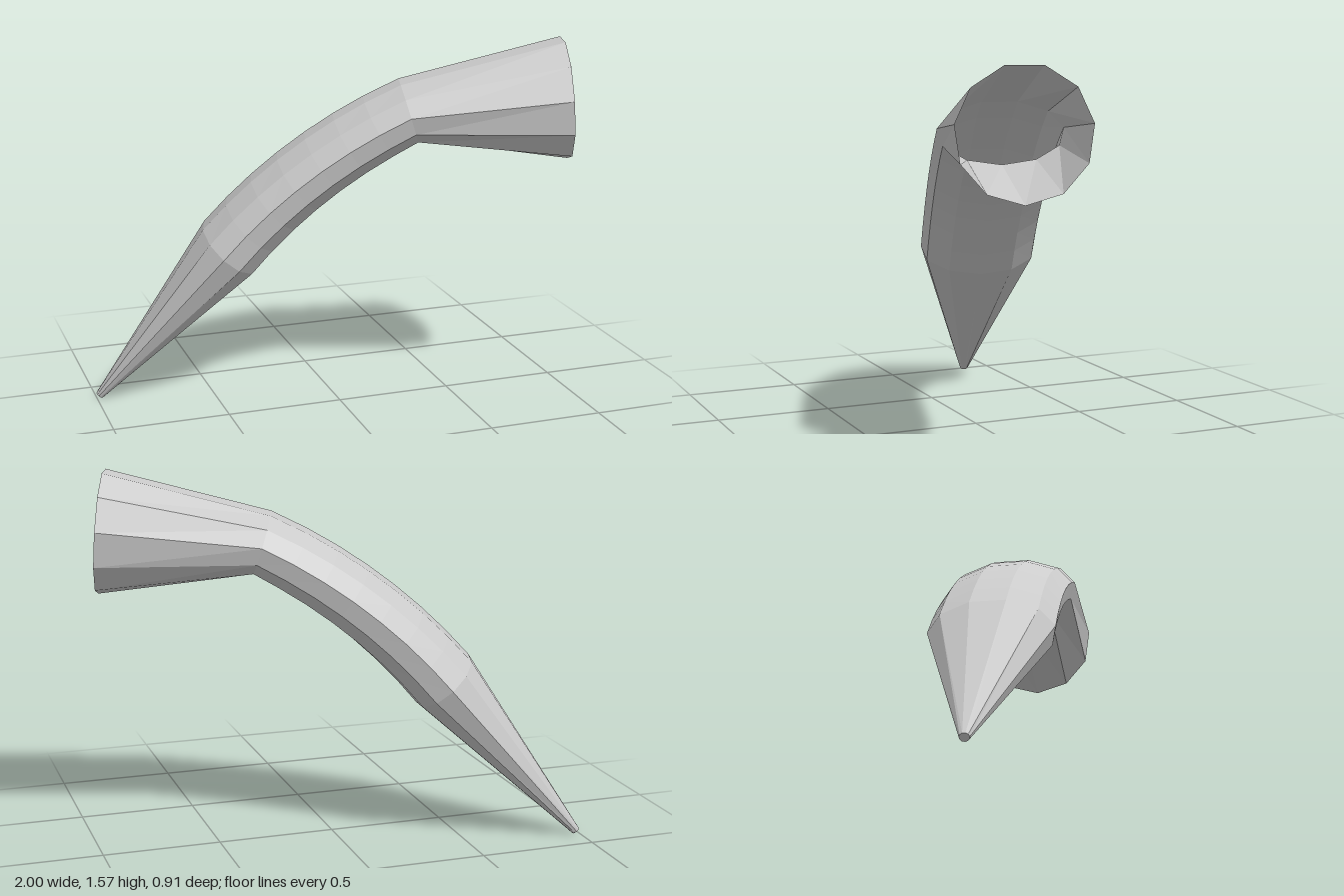
import * as THREE from 'three';

const SIDES = 11;

// the horn bends inside one upright plane that is turned about the y axis
const along = new THREE.Vector3(0.956, 0, 0.293);
const across = new THREE.Vector3(-0.293, 0, 0.956);

// centre of a section, from its x and y
const centre = (x, y) => new THREE.Vector3(x, y, 0.215 + 0.3065 * (x - 0.925));

// one oval ring: tilt leans it back, wide is the sideways radius, tall the other
function ring(c, tilt, wide, tall) {
  const up = along.clone().multiplyScalar(-Math.sin(tilt));
  up.y = Math.cos(tilt);
  const points = [];
  for (let j = 0; j < SIDES; j++) {
    const a = -Math.PI / 2 + (j * 2 * Math.PI) / SIDES; // a corner at the bottom
    points.push(c.clone()
      .addScaledVector(across, wide * Math.cos(a))
      .addScaledVector(up, tall * Math.sin(a)));
  }
  return points;
}

// skin a row of rings; the first is closed, the last left open
function skin(rings, start) {
  const pos = [];
  const tri = (...pts) => pts.forEach((p) => pos.push(p.x, p.y, p.z));
  for (let j = 0; j < SIDES; j++) {
    const k = (j + 1) % SIDES;
    tri(start, rings[0][j], rings[0][k]);
    for (let i = 0; i < rings.length - 1; i++) {
      const [p, q] = [rings[i], rings[i + 1]];
      tri(p[j], q[j], q[k]);
      tri(p[j], q[k], p[k]);
    }
  }
  const geometry = new THREE.BufferGeometry();
  geometry.setAttribute('position', new THREE.Float32BufferAttribute(pos, 3));
  geometry.computeVertexNormals();
  return geometry;
}

export function createModel() {
  const group = new THREE.Group();
  group.name = 'horn';

  // pointed tip
  const tip = centre(-0.986, 0.014);
  const rings = [ring(tip, 0.88, 0.02, 0.018)];

  // flattened, gently arched middle
  const arch = new THREE.QuadraticBezierCurve(
    new THREE.Vector2(-0.43, 0.69),
    new THREE.Vector2(-0.13, 1.06),
    new THREE.Vector2(0.295, 1.278));
  const steps = 7;
  for (let i = 0; i <= steps; i++) {
    const t = i / steps;
    const p = arch.getPoint(t);
    const d = arch.getTangent(t);
    // the last ring is mitred to meet the flared mouth
    const tilt = i === steps ? 0.3 : Math.atan2(d.y, d.x / 0.956);
    rings.push(ring(centre(p.x, p.y), tilt, 0.26, 0.15 - 0.018 * t));
  }

  // wide round mouth
  rings.push(ring(centre(0.925, 1.325), 0.075, 0.26, 0.26));

  const shell = new THREE.Mesh(
    skin(rings, tip),
    new THREE.MeshStandardMaterial({
      color: 0xcccccc, flatShading: true, side: THREE.DoubleSide,
    }));
  shell.name = 'hornShell';
  group.add(shell);
  return group;
}
